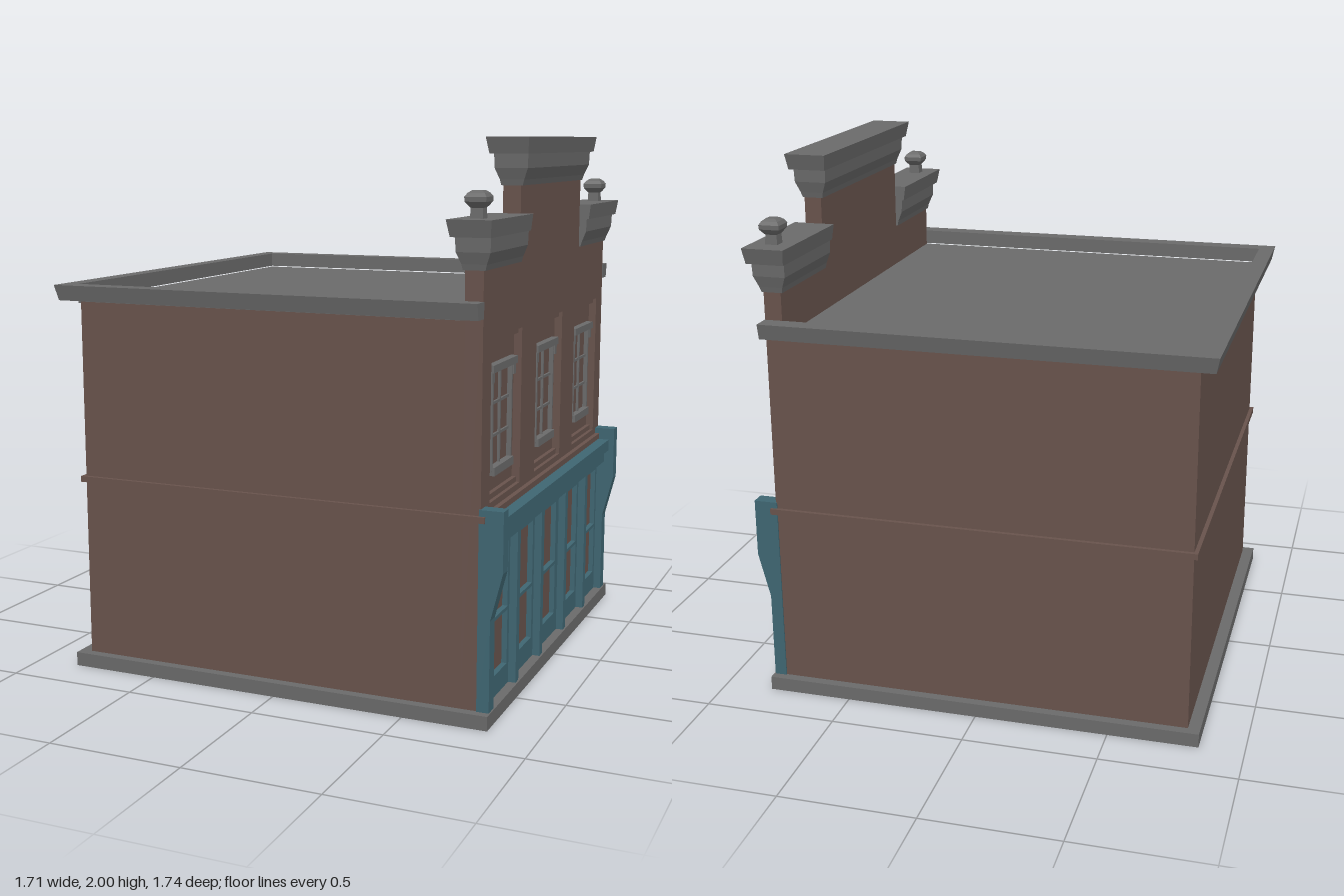
import * as THREE from 'three';

const brick = new THREE.MeshStandardMaterial({ color: 0x68534c });
brick.name = 'brick';
const stone = new THREE.MeshStandardMaterial({ color: 0x6a6a6a });
stone.name = 'stone';
const teal = new THREE.MeshStandardMaterial({ color: 0x3f6672 });
teal.name = 'tealPaint';

function add(parent, name, geometry, material) {
  const mesh = new THREE.Mesh(geometry, material);
  mesh.name = name;
  parent.add(mesh);
  return mesh;
}

// Box given by its limits on each axis
function block(parent, name, material, x0, x1, y0, y1, z0, z1) {
  const g = new THREE.BoxGeometry(x1 - x0, y1 - y0, z1 - z0);
  g.translate((x0 + x1) / 2, (y0 + y1) / 2, (z0 + z1) / 2);
  return add(parent, name, g, material);
}

// Solid through rectangular sections [y, x0, x1, z0, z1], bottom to top
function stack(parent, name, material, sections) {
  const pos = [], index = [];
  for (const [y, x0, x1, z0, z1] of sections) pos.push(x0, y, z1, x1, y, z1, x1, y, z0, x0, y, z0);
  const n = sections.length;
  for (let i = 0; i < n - 1; i++) {
    for (let k = 0; k < 4; k++) {
      const a = i * 4 + k, b = i * 4 + (k + 1) % 4;
      index.push(a, b, b + 4, a, b + 4, a + 4);
    }
  }
  const t = (n - 1) * 4;
  index.push(t, t + 1, t + 2, t, t + 2, t + 3, 0, 2, 1, 0, 3, 2);
  let g = new THREE.BufferGeometry();
  g.setAttribute('position', new THREE.Float32BufferAttribute(pos, 3));
  g.setIndex(index);
  g = g.toNonIndexed();
  g.computeVertexNormals();
  return add(parent, name, g, material);
}

function polygon(points, Type = THREE.Shape) {
  return new Type(points.map(([x, y]) => new THREE.Vector2(x, y)));
}

function rect(x0, x1, y0, y1, Type) {
  return polygon([[x0, y0], [x1, y0], [x1, y1], [x0, y1]], Type);
}

// Upright plate with rectangular holes, from depth z0 to z1
function plate(parent, name, material, shape, holes, z0, z1) {
  for (const h of holes) shape.holes.push(rect(...h, THREE.Path));
  const g = new THREE.ExtrudeGeometry(shape, { depth: z1 - z0, bevelEnabled: false });
  g.translate(0, 0, z0);
  return add(parent, name, g, material);
}

function buildWindow(parent, u) {
  const w = new THREE.Group();
  w.name = 'window';
  w.position.x = u;
  parent.add(w);
  block(w, 'recessWall', brick, -0.175, 0.175, 0.765, 1.33, 0.70, 0.74);
  block(w, 'recessHeadStep', brick, -0.175, 0.175, 1.31, 1.33, 0.74, 0.756);
  block(w, 'recessFootStep', brick, -0.175, 0.175, 0.765, 0.785, 0.74, 0.756);
  plate(w, 'windowFrame', stone, rect(-0.113, 0.113, 0.86, 1.215), [[-0.103, 0.103, 0.875, 1.205]], 0.738, 0.757);
  block(w, 'windowSill', stone, -0.108, 0.108, 0.845, 0.875, 0.738, 0.766);
  block(w, 'windowHood', stone, -0.138, 0.138, 1.208, 1.235, 0.738, 0.768);
  for (const s of [-1, 1]) {
    const bracket = block(w, 'hoodBracket', stone, -0.012, 0.012, 1.17, 1.208, 0.738, 0.762);
    bracket.position.x = s * 0.122;
  }
  block(w, 'verticalBar', stone, -0.005, 0.005, 0.875, 1.208, 0.738, 0.749);
  for (const y of [0.98, 1.095]) block(w, 'crossBar', stone, -0.103, 0.103, y - 0.005, y + 0.005, 0.738, 0.748);
}

function buildStorefront(parent) {
  const s = new THREE.Group();
  s.name = 'storefront';
  parent.add(s);

  // Stepped sign board across the top
  block(s, 'upperFascia', teal, -0.755, 0.755, 0.67, 0.717, 0.70, 0.83);
  block(s, 'lowerFascia', teal, -0.755, 0.755, 0.62, 0.67, 0.70, 0.812);

  // Five bays, the middle one being the door
  const bays = [[-0.622, 0.132], [-0.316, 0.133], [0, 0.149], [0.316, 0.133], [0.622, 0.132]];
  for (const [u, half] of bays) {
    const bay = new THREE.Group();
    bay.name = u === 0 ? 'door' : 'shopWindow';
    bay.position.x = u;
    s.add(bay);
    plate(bay, 'bayFrame', teal, rect(-half, half, 0.05, 0.62),
      [[-0.111, 0.111, 0.13, 0.332], [-0.111, 0.111, 0.345, 0.586]], 0.745, 0.78);
    block(bay, 'bayPanel', brick, -0.125, 0.125, 0.1, 0.6, 0.70, 0.76);
  }
  for (const u of [-0.472, -0.166, 0.166, 0.472]) {
    block(s, 'pilaster', teal, u - 0.0175, u + 0.0175, 0.05, 0.62, 0.70, 0.808);
  }

  // Door handle
  block(s, 'handlePlate', stone, -0.139, -0.125, 0.255, 0.305, 0.78, 0.784);
  const knob = add(s, 'doorKnob', new THREE.SphereGeometry(0.01, 10, 8), stone);
  knob.position.set(-0.132, 0.283, 0.792);

  // End posts flaring out towards the top
  for (const side of [-1, 1]) {
    const a = side > 0 ? 0.752 : -0.805, b = a + 0.053;
    stack(s, 'endPost', teal, [
      [0.05, a, b, 0.765, 0.81], [0.38, a, b, 0.765, 0.81],
      [0.55, a, b, 0.765, 0.853], [0.765, a, b, 0.765, 0.853],
    ]);
  }
}

function buildFacade(parent) {
  // Built facing +z, then turned so the street side faces +x
  const f = new THREE.Group();
  f.name = 'facade';
  f.rotation.y = Math.PI / 2;
  parent.add(f);

  const windows = [-0.533, 0, 0.533];
  const outline = polygon([[-0.8, 0.05], [0.8, 0.05], [0.8, 1.6], [0.402, 1.6], [0.402, 1.86],
    [-0.402, 1.86], [-0.402, 1.6], [-0.8, 1.6]]);
  plate(f, 'facadeWall', brick, outline,
    [...windows.map(u => [u - 0.175, u + 0.175, 0.765, 1.33]), [-0.752, 0.752, 0.055, 0.64]], 0.705, 0.77);
  windows.forEach(u => buildWindow(f, u));
  buildStorefront(f);

  // Cornice profile: height, spread at the ends, back and front depth
  const profile = [[0, 0.003, 0.698, 0.776], [0.02, 0.008, 0.694, 0.782], [0.06, 0.02, 0.678, 0.798],
    [0.11, 0.022, 0.676, 0.8], [0.11, 0.05, 0.668, 0.808], [0.168, 0.066, 0.659, 0.815]];
  stack(f, 'upperCornice', stone, profile.map(([y, e, d0, d1]) =>
    [1.832 + y, -0.4 - e, 0.4 + e, d0, d1]));
  for (const side of [-1, 1]) {
    stack(f, 'lowerCornice', stone, profile.map(([y, e, d0, d1]) => side > 0
      ? [1.567 + y, 0.4, 0.8 + e, d0, d1] : [1.567 + y, -0.8 - e, -0.4, d0, d1]));
    // Square finial
    const steps = [[1.73, 0.023], [1.77, 0.021], [1.777, 0.027], [1.79, 0.037], [1.806, 0.038], [1.818, 0.03], [1.827, 0.018]];
    stack(f, 'finial', stone, steps.map(([y, r]) =>
      [y, side * 0.763 - r, side * 0.763 + r, 0.737 - r, 0.737 + r]));
  }
}

export function createModel() {
  const model = new THREE.Group();
  model.name = 'shopBuilding';

  block(model, 'base', stone, -0.835, 0.815, 0, 0.052, -0.835, 0.835);
  block(model, 'body', brick, -0.79, 0.706, 0.05, 1.4, -0.8, 0.8);
  block(model, 'beltCourse', brick, -0.805, 0.788, 0.72, 0.742, -0.815, 0.815);
  block(model, 'roofDeck', stone, -0.8, 0.706, 1.395, 1.404, -0.8, 0.8);

  // Roof rim on three sides, leaning outwards
  const rim = new THREE.ExtrudeGeometry(polygon([[-0.86, -0.868], [0.772, -0.868], [0.772, -0.798],
    [-0.798, -0.798], [-0.798, 0.798], [0.772, 0.798], [0.772, 0.868], [-0.86, 0.868]]),
  { depth: 0.057, bevelEnabled: false });
  rim.rotateX(-Math.PI / 2);
  const p = rim.attributes.position;
  for (let i = 0; i < p.count; i++) {
    if (p.getY(i) > 0.01) continue;
    if (p.getX(i) < -0.83) p.setX(i, -0.848);
    if (Math.abs(p.getZ(i)) > 0.83) p.setZ(i, Math.sign(p.getZ(i)) * 0.856);
  }
  rim.translate(0, 1.408, 0);
  rim.computeVertexNormals();
  add(model, 'roofRim', rim, stone);

  buildFacade(model);
  return model;
}
